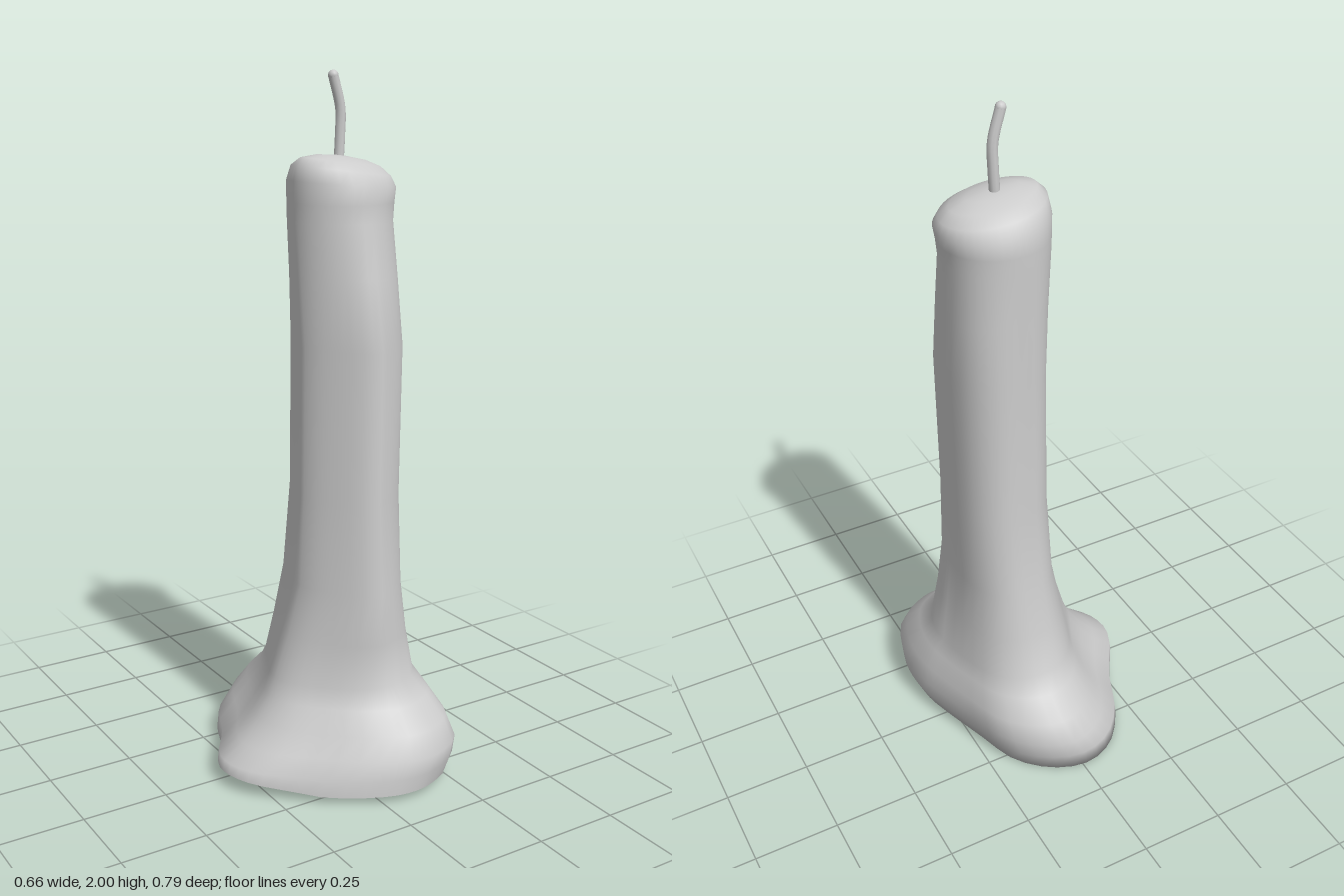
import * as THREE from 'three';

const SIDES = 48;

// Outline of the melted foot, as x, z pairs
const FOOT = [
  [0, -0.4], [0.11, -0.365], [0.2, -0.28], [0.25, -0.15], [0.305, 0], [0.325, 0.07], [0.33, 0.15],
  [0.32, 0.22], [0.27, 0.33], [0.17, 0.385], [0.11, 0.395], [0.04, 0.385], [-0.08, 0.325],
  [-0.2, 0.225], [-0.295, 0.14], [-0.33, 0.065], [-0.325, -0.01], [-0.24, -0.15], [-0.18, -0.285], [-0.1, -0.37],
];

// Wax sections: height, min x, max x, min z, max z, share of the foot outline, lean towards the back left corner
const RINGS = [
  [0, -0.33, 0.305, -0.392, 0.397, 1, 0],
  [0.06, -0.325, 0.327, -0.398, 0.4, 1, 0],
  [0.12, -0.265, 0.331, -0.394, 0.4, 1, 0],
  [0.18, -0.21, 0.318, -0.357, 0.365, 0.9, 0],
  [0.24, -0.17, 0.29, -0.292, 0.305, 0.75, 0],
  [0.29, -0.15, 0.264, -0.247, 0.255, 0.55, 0.04],
  [0.42, -0.115, 0.237, -0.212, 0.252, 0.3, 0.09],
  [0.57, -0.082, 0.215, -0.182, 0.25, 0.1, 0.12],
  [0.83, -0.07, 0.218, -0.148, 0.218, 0, 0.15],
  [1.26, -0.065, 0.224, -0.147, 0.217, 0, 0.15],
  [1.45, -0.064, 0.227, -0.148, 0.179, 0, 0.08],
  [1.6, -0.064, 0.229, -0.15, 0.147, 0, 0.02],
  [1.65, -0.064, 0.236, -0.151, 0.143, 0, 0],
  [1.7, -0.065, 0.243, -0.15, 0.141, 0, 0],
  [1.735, -0.058, 0.232, -0.122, 0.116, 0, 0],
  [1.758, -0.036, 0.205, -0.083, 0.08, 0, 0],
  [1.771, 0.01, 0.16, -0.042, 0.042, 0, 0],
];

const footCurve = new THREE.CatmullRomCurve3(FOOT.map(([x, z]) => new THREE.Vector3(x / 0.33, 0, z / 0.4)), true);
const footUnit = footCurve.getPoints(SIDES).slice(0, SIDES);

// The underside is tilted, and lifts towards the pointed lip
const bottomY = (x, z) => 0.012 * (z / 0.4 + 1) + 0.17 * Math.max(0, -x - 0.15) + 0.002;

function ringPoints([y, x0, x1, z0, z1, share, lean]) {
  return footUnit.map((p) => {
    const len = Math.hypot(p.x, p.z);
    const ux = p.x / len, uz = p.z / len;
    const swell = 1 + lean * Math.abs(2 * ux * uz) * (ux - uz) / Math.SQRT2;
    const nx = THREE.MathUtils.lerp(ux, p.x, share) * swell;
    const nz = THREE.MathUtils.lerp(uz, p.z, share) * swell;
    const x = (x0 + x1) / 2 + nx * (x1 - x0) / 2;
    const z = (z0 + z1) / 2 + nz * (z1 - z0) / 2;
    let h = y;
    if (y < 0.1) h += bottomY(x, z) * (1 - y / 0.1);
    if (y > 1.65) h -= 0.13 * (x - 0.08) * Math.min(1, (y - 1.65) / 0.08);
    return new THREE.Vector3(x, h, z);
  });
}

// Skin over a stack of closed rings, ending in a centre point
function loft(rings, tip) {
  const points = rings.flat().concat(tip);
  const index = [];
  for (let r = 0; r < rings.length; r++) {
    for (let i = 0; i < SIDES; i++) {
      const a = r * SIDES + i, b = r * SIDES + (i + 1) % SIDES;
      if (r === rings.length - 1) index.push(a, points.length - 1, b);
      else index.push(a, a + SIDES, b, b, a + SIDES, b + SIDES);
    }
  }
  const geometry = new THREE.BufferGeometry().setFromPoints(points);
  geometry.setIndex(index);
  geometry.computeVertexNormals();
  return geometry;
}

// Moves a point on the back left of the foot inwards to a diagonal edge
function toEdge(p) {
  const across = (p.x - p.z) / Math.SQRT2, edge = -0.06;
  if (across <= edge) return p.clone();
  const along = THREE.MathUtils.clamp((p.x + p.z) / Math.SQRT2, -0.25, 0.39);
  const x = (along + edge) / Math.SQRT2, z = (along - edge) / Math.SQRT2;
  return new THREE.Vector3(x, bottomY(x, z), z);
}

export function createModel() {
  const group = new THREE.Group();
  const material = new THREE.MeshStandardMaterial({ color: 0xcccccc, side: THREE.DoubleSide });
  const add = (name, geometry) => {
    const mesh = new THREE.Mesh(geometry, material);
    mesh.name = name;
    group.add(mesh);
    return mesh;
  };

  // Candle body; its back left wall rolls under the foot up to the diagonal edge
  const rings = RINGS.map(ringPoints);
  const rim = rings[0].map(toEdge);
  add('waxBody', loft([rim, ...rings], new THREE.Vector3(0.085, 1.776, 0)));

  // Shallow hollow under the pointed lip
  const centre = new THREE.Vector3(-0.08, 0.08, 0.19);
  const hollow = rim.map((p) => p.clone().lerp(centre, 0.3).setY(p.y + 0.045));
  add('underside', loft([rim, hollow], centre));

  // Bent wick with a rounded tip
  const wickPath = new THREE.CatmullRomCurve3([
    new THREE.Vector3(0.08, 1.74, -0.006), new THREE.Vector3(0.085, 1.83, -0.006),
    new THREE.Vector3(0.085, 1.9, -0.005), new THREE.Vector3(0.062, 1.987, -0.005),
  ]);
  add('wick', new THREE.TubeGeometry(wickPath, 16, 0.0145, 10));
  const tip = add('wickTip', new THREE.SphereGeometry(0.0145, 10, 8));
  tip.position.copy(wickPath.getPoint(1));

  return group;
}
